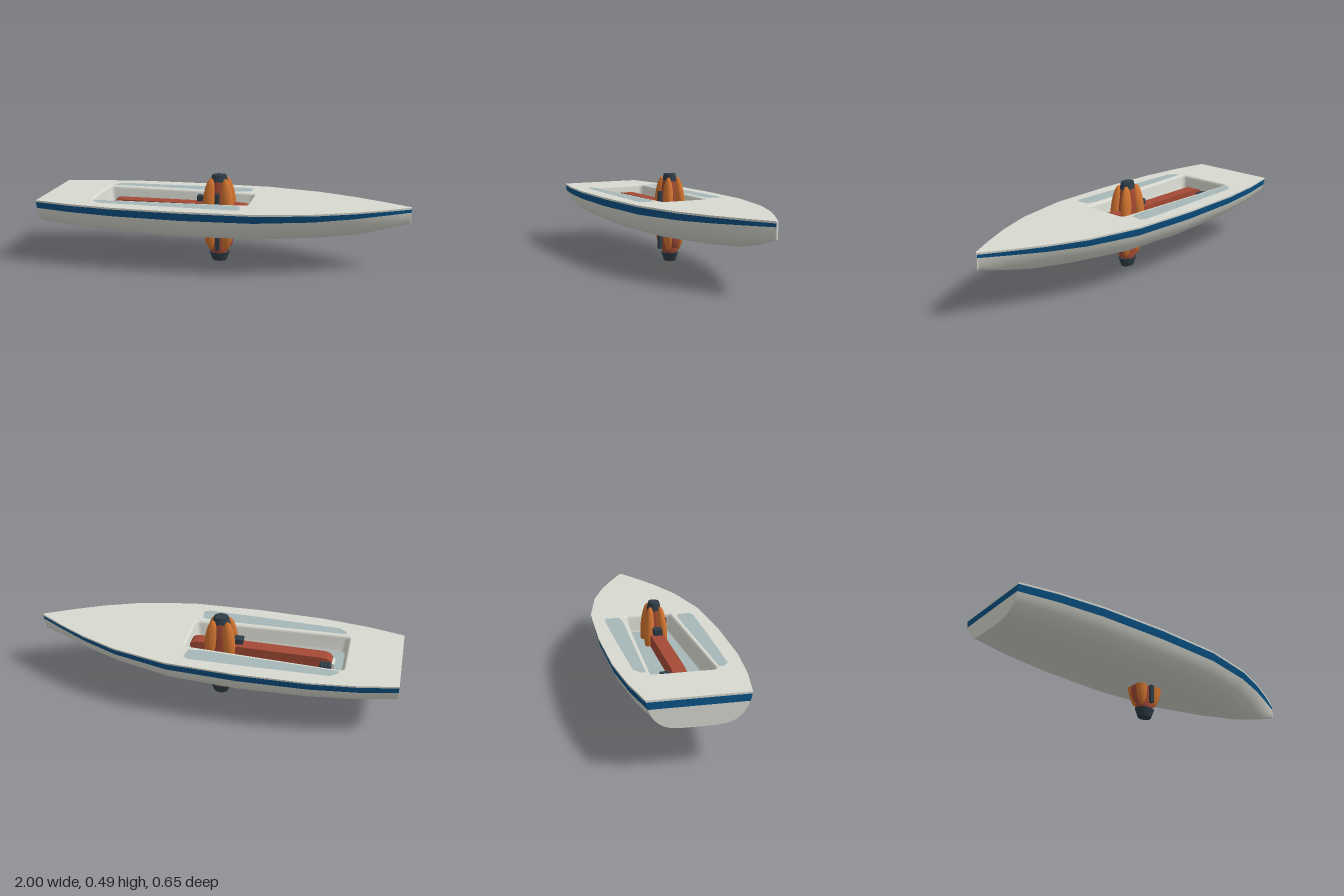
import * as THREE from 'three';

const mat = (name, color, side = THREE.FrontSide) => {
  const m = new THREE.MeshStandardMaterial({ color, side });
  m.name = name;
  return m;
};

// Surface through a list of equal-length cross-sections
function loft(rings, closed = false) {
  const n = rings[0].length, index = [];
  for (let i = 0; i < rings.length - 1; i++) {
    for (let j = 0; j < (closed ? n : n - 1); j++) {
      const a = i * n + j, b = i * n + (j + 1) % n;
      index.push(a, b, a + n, b, b + n, a + n);
    }
  }
  const g = new THREE.BufferGeometry();
  g.setAttribute('position', new THREE.Float32BufferAttribute(rings.flat(2), 3));
  g.setIndex(index);
  g.computeVertexNormals();
  return g;
}

// Hull stations: x, half width, keel height, bottom of stripe, sharpness of the V
const STATIONS = [
  [-1, 0.243, 0.205, 0.308, 0], [-0.8, 0.285, 0.19, 0.306, 0], [-0.55, 0.315, 0.179, 0.304, 0],
  [-0.18, 0.325, 0.169, 0.302, 0], [0.2, 0.31, 0.168, 0.303, 0.1], [0.5, 0.245, 0.177, 0.308, 0.35],
  [0.7, 0.166, 0.19, 0.314, 0.65], [0.85, 0.09, 0.223, 0.32, 0.85], [1, 0.005, 0.268, 0.326, 1],
];
const DECK = 0.353, STRIPE_TOP = 0.343;

// Half width of a station at height y
function halfWidth([, w, keel, , v], y) {
  const f = Math.min(1, Math.max(0, (DECK - y) / (DECK - keel)));
  return w * Math.pow(Math.max(0, 1 - Math.pow(f, 1.5 - 0.2 * v)), 0.22 + 0.4 * v);
}

function bandRing(s, y0, y1, sign) {
  return [y0, (y0 + y1) / 2, y1].map((y) => [s[0], y, sign * halfWidth(s, y)]);
}

function bottomRing(s) {
  const N = 12, half = [];
  for (let k = 0; k <= N; k++) {
    const y = s[3] + (s[2] - s[3]) * Math.sin((k / N) * Math.PI / 2);
    half.push([s[0], y, k === N ? 0 : halfWidth(s, y)]);
  }
  return [...half, ...half.slice(0, N).reverse().map(([x, y, z]) => [x, y, -z])];
}

// Rounded, tapering cockpit outline, moved inwards by d
function cockpitOutline(d) {
  const x0 = -0.72 + d, x1 = 0.15 - d, z0 = 0.168 - d, z1 = 0.137 - d, r = 0.025, pts = [];
  for (const [cx, cz, a0] of [[x1 - r, z1 - r, 0], [x0 + r, z0 - r, 1], [x0 + r, r - z0, 2], [x1 - r, r - z1, 3]]) {
    for (let k = 0; k <= 4; k++) {
      const a = (a0 + k / 4) * Math.PI / 2;
      pts.push(new THREE.Vector2(cx + r * Math.cos(a), cz + r * Math.sin(a)));
    }
  }
  return pts;
}

const flat = (shape, y) => new THREE.ShapeGeometry(shape).rotateX(-Math.PI / 2).translate(0, y, 0);

export function createModel() {
  const white = mat('hull white', 0xd8d9d0, THREE.DoubleSide);
  const blue = mat('stripe blue', 0x0b5488, THREE.DoubleSide);
  const teal = mat('grip grey', 0xa6b8b9, THREE.DoubleSide);
  const red = mat('brick red', 0xa34a35);
  const orange = mat('vest orange', 0xd27430);
  const dark = mat('dark slate', 0x2f3d47);

  const model = new THREE.Group();
  const add = (name, geo, material, parent = model) => {
    const m = new THREE.Mesh(geo, material);
    m.name = name;
    parent.add(m);
    return m;
  };

  // Hull skin with stripe on both sides
  add('hullBottom', loft(STATIONS.map(bottomRing)), white);
  for (const side of [1, -1]) {
    add('gunwale', loft(STATIONS.map((s) => bandRing(s, DECK, STRIPE_TOP, side))), white);
    add('stripe', loft(STATIONS.map((s) => bandRing(s, STRIPE_TOP, s[3], side))), blue);
  }

  // Transom, with the stripe carried across
  const stern = STATIONS[0];
  const across = (r) => loft([r, r.map(([x, y, z]) => [x, y, -z])]);
  add('transomTop', across(bandRing(stern, DECK, STRIPE_TOP, 1)), white);
  add('transomStripe', across(bandRing(stern, STRIPE_TOP, stern[3], 1)), blue);
  add('transom', across(bottomRing(stern).slice(0, 13)), white);
  add('stem', new THREE.BoxGeometry(0.006, 0.085, 0.01).translate(0.997, 0.3105, 0), white);

  // Deck with cockpit opening
  const edge = STATIONS.map((s) => new THREE.Vector2(s[0], s[1]));
  const deck = new THREE.Shape([...edge, ...edge.slice().reverse().map((p) => new THREE.Vector2(p.x, -p.y))]);
  deck.holes.push(new THREE.Path(cockpitOutline(0)));
  add('deck', flat(deck, DECK), white);

  // Cockpit well
  const wall = [[0, DECK], [0.006, 0.349], [0.01, 0.34], [0.018, 0.275], [0.024, 0.26]];
  add('cockpitWall', loft(wall.map(([d, y]) => cockpitOutline(d).map((p) => [p.x, y, p.y])), true), white);
  add('cockpitFloor', flat(new THREE.Shape(cockpitOutline(0.024)), 0.26), teal);

  // Grip pads on the side decks
  const pad = [[-0.69, 0.178], [-0.69, 0.2], [-0.65, 0.232], [-0.2, 0.246], [0.09, 0.25], [0.12, 0.235], [0.11, 0.165], [0.05, 0.155]];
  for (const side of [1, -1]) {
    add('gripPad', flat(new THREE.Shape(pad.map(([x, z]) => new THREE.Vector2(x, side * z))), DECK + 0.002), teal);
  }

  // Centre rail with rounded ends
  const rail = new THREE.Shape();
  rail.moveTo(-0.64, 0.258);
  rail.lineTo(0.14, 0.258);
  rail.lineTo(0.14, 0.285);
  rail.quadraticCurveTo(0.14, 0.322, 0.09, 0.325);
  rail.lineTo(-0.59, 0.325);
  rail.quadraticCurveTo(-0.64, 0.322, -0.64, 0.285);
  add('centreRail', new THREE.ExtrudeGeometry(rail, { depth: 0.07, bevelEnabled: false, curveSegments: 6 })
    .translate(0, 0, -0.035), red);
  add('railFoot', new THREE.BoxGeometry(0.02, 0.03, 0.06).translate(-0.645, 0.275, 0), white);

  // Cleat beside the rail
  const cleat = new THREE.Group();
  cleat.name = 'cleat';
  cleat.position.set(-0.61, 0.28, -0.065);
  model.add(cleat);
  add('cleatBase', new THREE.BoxGeometry(0.045, 0.04, 0.025), dark, cleat);
  for (const x of [-0.02, 0, 0.02]) {
    add('cleatJaw', new THREE.CylinderGeometry(0.012, 0.012, 0.045, 10).rotateX(Math.PI / 2).translate(x, 0.018, 0), dark, cleat);
  }

  // Padded upright post standing through the hull
  const post = new THREE.Group();
  post.name = 'paddedPost';
  post.position.x = -0.033;
  model.add(post);
  const core = [[0.038, 0.045], [0.045, 0.07], [0.05, 0.2], [0.05, 0.35], [0.044, 0.41], [0.038, 0.45]];
  add('postCore', new THREE.LatheGeometry(core.map(([r, y]) => new THREE.Vector2(r, y)), 20).scale(1.15, 1, 0.98), red, post);
  add('topCap', new THREE.CylinderGeometry(0.03, 0.038, 0.04, 16).scale(1.3, 1, 1).translate(0, 0.465, 0), dark, post);
  add('bottomCap', new THREE.CylinderGeometry(0.044, 0.03, 0.048, 16).scale(1.3, 1, 1).translate(0, 0.024, 0), dark, post);
  for (const sx of [1, -1]) {
    add('sidePad', new THREE.SphereGeometry(1, 16, 14).scale(0.03, 0.095, 0.042).translate(sx * 0.052, 0.17, 0), red, post);
    for (const sz of [1, -1]) {
      for (const up of [1, -1]) {
        const lobe = add('vestLobe', new THREE.SphereGeometry(1, 18, 14).scale(0.034, 0.118, 0.025), orange, post);
        lobe.position.set(sx * 0.05, up > 0 ? 0.35 : 0.178, sz * 0.036);
        lobe.rotation.set(-up * sz * 0.08, 0, up * sx * 0.1);
      }
    }
  }
  add('frontStrap', new THREE.BoxGeometry(0.02, 0.32, 0.02).translate(0, 0.23, 0.059), dark, post);
  add('sideBuckle', new THREE.BoxGeometry(0.05, 0.03, 0.045).translate(-0.097, 0.348, 0), dark, post);

  return model;
}
